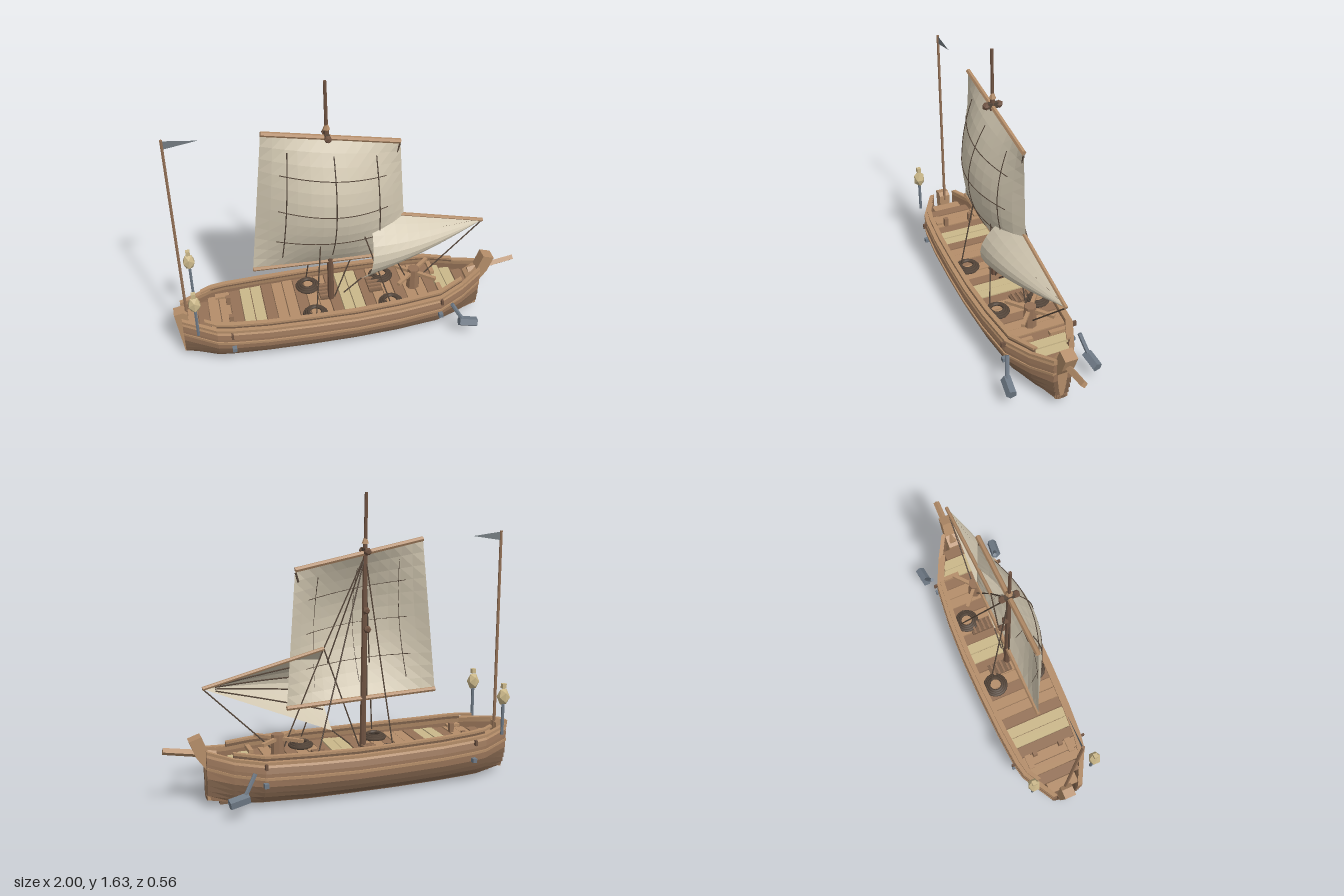
import * as THREE from 'three';

const mat = (name, color, extra = {}) => Object.assign(new THREE.MeshStandardMaterial({ color }), { name }, extra);
const V = (x, y, z = 0) => new THREE.Vector3(x, y, z);

// Unshared corners give crisp facets
function facet(geo) {
  const g = geo.index ? geo.toNonIndexed() : geo;
  g.computeVertexNormals();
  return g;
}

// Linear lookup in a short [x, value] table
function lookup(table, x) {
  for (let i = 1; i < table.length; i++) {
    const [x0, a] = table[i - 1], [x1, b] = table[i];
    if (x <= x1) return a + (b - a) * Math.max(0, (x - x0) / (x1 - x0));
  }
  return table[table.length - 1][1];
}

const STATIONS = [-0.96, -0.87, -0.78, -0.7, -0.5, -0.25, 0, 0.25, 0.5, 0.58, 0.65, 0.78];
const BEAM = [[-0.96, 0.085], [-0.78, 0.187], [-0.7, 0.203], [-0.5, 0.219], [-0.25, 0.228], [0, 0.231],
  [0.25, 0.222], [0.5, 0.196], [0.65, 0.125], [0.78, 0.05]];
const KEEL = [[-0.96, 0.035], [-0.78, 0.018], [-0.4, 0.008], [0.3, 0.008], [0.6, 0.018], [0.78, 0.04]];
const SHEER = [[-0.96, 0.292], [-0.78, 0.278], [-0.5, 0.268], [0, 0.262], [0.5, 0.268], [0.65, 0.28], [0.78, 0.31]];

// Sweeps a (y, z) section along x; side -1 mirrors it across z
function sweep(xs, section, side) {
  const pos = [], rings = xs.map(x => section(x).map(([y, z]) => [x, y, z * side]));
  const tri = (a, b, c) => pos.push(...a, ...(side > 0 ? b : c), ...(side > 0 ? c : b));
  const n = rings[0].length, last = rings.length - 1;
  for (let i = 0; i < last; i++) for (let j = 0; j < n; j++) {
    const k = (j + 1) % n, p = rings[i], q = rings[i + 1];
    tri(p[j], q[j], q[k]);
    tri(p[j], q[k], p[k]);
  }
  for (let j = 1; j < n - 1; j++) {
    tri(rings[0][0], rings[0][j], rings[0][j + 1]);
    tri(rings[last][0], rings[last][j + 1], rings[last][j]);
  }
  const g = new THREE.BufferGeometry();
  g.setAttribute('position', new THREE.Float32BufferAttribute(pos, 3));
  return facet(g);
}

// Grid surface from a point rule
function cloth(fn, nu, nv) {
  const pos = [];
  for (let i = 0; i < nu; i++) for (let j = 0; j < nv; j++) {
    const [a, b, c, d] = [[i, j], [i + 1, j], [i + 1, j + 1], [i, j + 1]].map(([u, v]) => fn(u / nu, v / nv).toArray());
    pos.push(...a, ...b, ...c, ...a, ...c, ...d);
  }
  const g = new THREE.BufferGeometry();
  g.setAttribute('position', new THREE.Float32BufferAttribute(pos, 3));
  return facet(g);
}

// Point on a four-cornered sail; v runs from the foot to the head
const patch = (fl, fr, hl, hr, bulge) => (u, v) => {
  const p = fl.clone().lerp(fr, u).lerp(hl.clone().lerp(hr, u), v);
  p.z += bulge(u, v);
  return p;
};

export function createModel() {
  const M = {
    dark: mat('dark wood', 0x7b5f49), mid: mat('brown wood', 0x957257), tan: mat('tan wood', 0xb48d69),
    cream: mat('pale wood', 0xcab789), mast: mat('mast wood', 0x6f5342), rope: mat('rope', 0x55463a),
    iron: mat('iron', 0x6f7a86), sail: mat('sailcloth', 0xd0c6b0, { side: THREE.DoubleSide }),
    flag: mat('pennant cloth', 0x737b80, { side: THREE.DoubleSide }),
  };
  const root = new THREE.Group();
  root.name = 'sailingShip';
  const add = (name, geo, m, x = 0, y = 0, z = 0, ry = 0) => {
    const mesh = new THREE.Mesh(geo, m);
    mesh.name = name;
    mesh.position.set(x, y, z);
    mesh.rotation.y = ry;
    root.add(mesh);
    return mesh;
  };
  const box = (name, m, x, y, z, w, h, d, ry = 0) => add(name, new THREE.BoxGeometry(w, h, d), m, x, y, z, ry);
  const beam = (name, m, a, b, r, r2 = r, sides = 6) => {
    const mesh = add(name, facet(new THREE.CylinderGeometry(r2, r, a.distanceTo(b), sides)), m);
    mesh.position.copy(a).lerp(b, 0.5);
    mesh.quaternion.setFromUnitVectors(V(0, 1, 0), b.clone().sub(a).normalize());
    return mesh;
  };
  const plate = (name, pts, depth, m) => {
    const shape = new THREE.Shape(pts.map(p => new THREE.Vector2(...p)));
    return add(name, new THREE.ExtrudeGeometry(shape, { depth, bevelEnabled: false }), m, 0, 0, -depth / 2);
  };

  // Overlapping hull planks, bottom and rails
  const T = [0, 0.1, 0.21, 0.33, 0.47, 0.62, 0.77, 0.9, 1];
  const F = [0.42, 0.63, 0.76, 0.85, 0.92, 0.965, 0.99, 0.985, 0.96];
  const tones = [M.mid, M.dark, M.dark, M.dark, M.mid, M.mid, M.mid, M.tan];
  const hullY = (x, t) => lookup(KEEL, x) + t * (lookup(SHEER, x) - lookup(KEEL, x));
  for (const s of [1, -1]) {
    add('hullBottom', sweep(STATIONS, x => {
      const y = hullY(x, 0), w = lookup(BEAM, x) * 0.44;
      return [[y - 0.004, w], [y + 0.012, w], [y + 0.012, 0], [y - 0.004, 0]];
    }, s), M.dark);
    tones.forEach((m, i) => add('hullPlank', sweep(STATIONS, x => {
      const b = lookup(BEAM, x), y0 = hullY(x, T[i]), y1 = hullY(x, T[i + 1]), lo = b * F[i], hi = b * F[i + 1];
      return [[y0, lo + 0.009], [y1, hi], [y1, Math.max(hi - 0.02, 0)], [y0, Math.max(lo - 0.02, 0)]];
    }, s), m));
    const rail = (name, xs, inset, width, lift, h, m) => add(name, sweep(xs, x => {
      const z = Math.max(lookup(BEAM, x) - inset, width), y = lookup(SHEER, x) + lift;
      return [[y, z], [y + h, z], [y + h, z - width], [y, z - width]];
    }, s), m);
    rail('gunwale', STATIONS, -0.004, 0.026, -0.012, 0.016, M.tan);
    rail('wale', STATIONS, -0.008, 0.02, -0.095, 0.014, M.tan);
    rail('railGap', STATIONS.slice(2, 11), 0.02, 0.012, 0, 0.02, M.dark);
    rail('railCap', [-0.84, ...STATIONS.slice(2, 11)], 0.016, 0.026, 0.018, 0.013, M.tan);
  }
  box('keel', M.dark, -0.09, 0.012, 0, 1.6, 0.024, 0.035);

  // Deck planks
  const deckTones = [M.tan, M.tan, M.mid, M.cream, M.tan, M.mid, M.tan, M.cream, M.mid];
  for (let i = 0; i < 26; i++) {
    const x = -0.9 + i * 0.063;
    const w = Math.min(lookup(BEAM, x - 0.03), lookup(BEAM, x + 0.03)) - 0.015;
    box('deckPlank', deckTones[(i * 4 + 1) % 9], x, 0.215 + (i % 2) * 0.003, 0, 0.058, 0.02, w * 2);
  }
  box('deckBase', M.dark, -0.1, 0.2, 0, 1.3, 0.02, 0.3);

  // Stem, sternpost and bowsprit
  plate('stem', [[0.75, 0.035], [0.778, 0.04], [0.78, 0.21], [0.83, 0.28], [0.865, 0.37], [0.8, 0.392],
    [0.765, 0.3], [0.7, 0.26], [0.72, 0.15]], 0.07, M.tan);
  plate('sternpost', [[-0.965, 0.02], [-0.93, 0.028], [-0.925, 0.29], [-0.95, 0.308], [-1, 0.298]], 0.065, M.tan);
  beam('bowsprit', M.tan, V(0.72, 0.278), V(0.997, 0.326), 0.021, 0.019, 4);

  // Mast, yards and blocks
  const head = V(-0.115, 1.3);
  beam('mast', M.mast, V(-0.105, 0.2), V(-0.115, 1.36), 0.019, 0.013, 8);
  beam('topmast', M.mast, V(-0.115, 1.3), V(-0.12, 1.63), 0.01, 0.009);
  add('mastCap', facet(new THREE.ConeGeometry(0.02, 0.05, 6)), M.tan, -0.115, 1.385, 0);
  const yardA = V(-0.45, 1.375), yardB = V(0.275, 1.235), boomA = V(-0.54, 0.523), boomB = V(0.33, 0.492);
  beam('mainYard', M.tan, yardA, yardB, 0.014);
  beam('mainBoom', M.tan, boomA, boomB, 0.014);
  beam('yardEnd', M.rope, V(0.272, 1.22), V(0.258, 1.17), 0.006);
  const blocks = [[1.32, 0.037], [1.32, -0.037], [0.9, -0.037], [1.0, -0.018]];
  for (const [y, z] of blocks) {
    add('pulleyBlock', new THREE.IcosahedronGeometry(0.022, 0), M.mast, -0.115, y, z);
  }
  box('mastBand', M.rope, -0.115, 1.32, 0, 0.024, 0.03, 0.06);

  // Mainsail with seam lines
  const S = Math.sin, P = Math.PI;
  const main = patch(boomA, boomB, yardA, yardB, (u, v) => 0.15 * S(P * u) ** 0.9 * S(P * v) ** 0.9);
  add('mainsail', cloth(main, 12, 12), M.sail);
  const seam = (fn, from, to, dz, r) => {
    const pts = [];
    for (let i = 0; i <= 12; i++) {
      const k = i / 12;
      const p = fn(from[0] + (to[0] - from[0]) * k, from[1] + (to[1] - from[1]) * k);
      pts.push(p.setZ(p.z + dz));
    }
    add('sailSeam', new THREE.TubeGeometry(new THREE.CatmullRomCurve3(pts), 24, r, 4), M.rope);
  };
  for (const k of [0.18, 0.5, 0.81]) seam(main, [k, 0.1], [k, 0.9], 0.001, 0.003);
  for (const k of [0.25, 0.5, 0.75]) seam(main, [0.13, k], [0.87, k], 0.001, 0.003);

  // Three-cornered foresail with battens on its back
  const tip = V(0.78, 0.64), peak = V(0.12, 0.805), tack = V(0.075, 0.34);
  const fore = patch(tack, tip, peak, tip, (u, v) => 0.168 * S(P * v) * Math.cos(P * u / 2));
  add('foresail', cloth(fore, 10, 10), M.sail);
  for (const k of [0.2, 0.4, 0.6, 0.8]) seam(fore, [0.02, k], [0.9, k], -0.006, 0.004);
  beam('foreYard', M.tan, peak, tip, 0.011);

  // Rigging
  const lines = [[peak, head], [peak, V(-0.085, 0.23)], [peak, V(0.36, 0.25)], [tip, V(0.42, 0.28)],
    [tack, V(-0.03, 0.25)], [V(-0.115, 1.28), V(-0.13, 0.5)]];
  for (const s of [1, -1]) lines.push([head, V(-0.22, 0.27, 0.16 * s)], [head, V(0.205, 0.27, 0.16 * s)]);
  for (const [a, b] of lines) beam('rope', M.rope, a, b, 0.004, 0.004, 5);

  // Capstan with crossed bars
  beam('capstan', M.mid, V(0.385, 0.22), V(0.385, 0.355), 0.04, 0.034, 8);
  for (const s of [1, -1]) box('capstanBar', M.tan, 0.38, 0.331, 0, 0.29, 0.018, 0.02, s * 0.7);

  // Rope coils, hatches and benches
  for (const x of [-0.22, 0.22]) for (const s of [1, -1]) {
    for (let i = 0; i < 3; i++) {
      const coil = add('ropeCoil', new THREE.TorusGeometry(0.062 - i * 0.011, 0.01, 5, 16), M.rope, x, 0.236 + i * 0.007, 0.122 * s);
      coil.rotation.x = P / 2;
    }
  }
  for (const x of [-0.13, 0.16]) {
    box('hatch', M.dark, x, 0.23, -0.055, 0.075, 0.014, 0.13);
    for (let i = 0; i < 4; i++) box('hatchSlat', M.mid, x, 0.241, -0.1 + i * 0.03, 0.075, 0.01, 0.012);
  }
  for (const s of [1, -1]) {
    box('sternBench', M.tan, -0.72, 0.252, 0.125 * s, 0.08, 0.014, 0.035);
    box('sternPost', M.mid, -0.69, 0.25, 0.08 * s, 0.025, 0.06, 0.025);
    box('bowBench', M.tan, 0.52, 0.252, 0.1 * s, 0.025, 0.02, 0.1);
    for (const x of [-0.695, 0.5]) box('hullBolt', M.iron, x, 0.147, (lookup(BEAM, x) + 0.005) * s, 0.024, 0.024, 0.03);
    for (const x of [-0.7, 0.5]) box('railCleat', M.mast, x, 0.25, (lookup(BEAM, x) + 0.01) * s, 0.012, 0.03, 0.03);

    // Stern lanterns
    beam('lanternPost', M.iron, V(-0.88, 0.27, 0.182 * s), V(-0.88, 0.45, 0.182 * s), 0.009);
    const lamp = add('lantern', new THREE.IcosahedronGeometry(0.037, 0), M.cream, -0.88, 0.492, 0.182 * s);
    lamp.scale.y = 1.4;
    box('lanternCap', M.cream, -0.88, 0.555, 0.182 * s, 0.024, 0.028, 0.024);

    // Anchors
    beam('anchorShank', M.iron, V(0.56, 0.225, 0.212 * s), V(0.63, 0.105, 0.243 * s), 0.012);
    beam('anchorHead', M.iron, V(0.602, 0.11, 0.238 * s), V(0.705, 0.09, 0.25 * s), 0.03, 0.03, 5);
  }

  // Stern flagpole and pennant
  beam('flagpole', M.mid, V(-0.93, 0.26), V(-0.93, 1.405), 0.009, 0.008);
  const pennant = new THREE.Shape([[-0.93, 1.4], [-0.93, 1.352], [-0.755, 1.38]].map(p => new THREE.Vector2(...p)));
  add('pennant', new THREE.ShapeGeometry(pennant), M.flag);

  return root;
}
